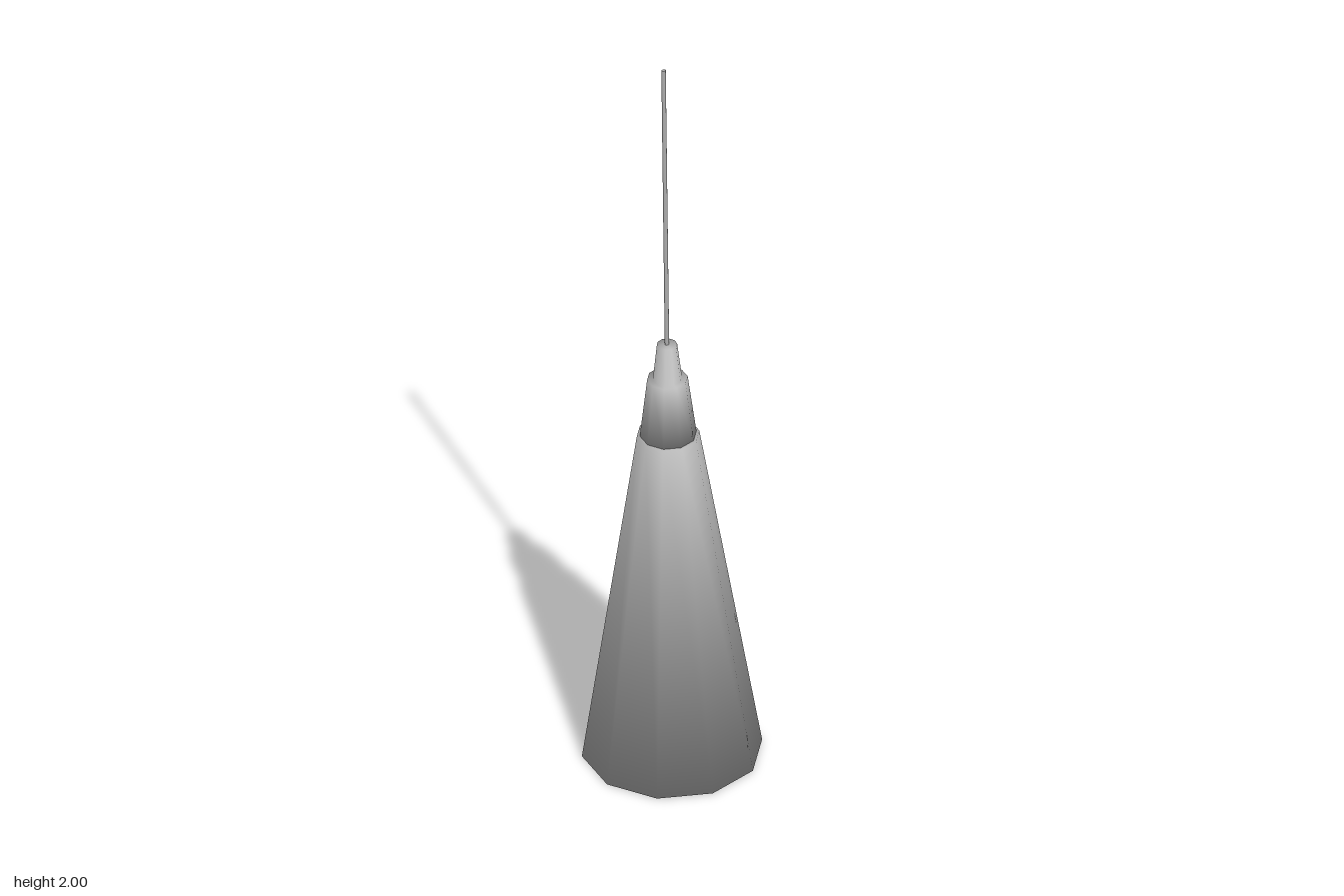
import * as THREE from 'three';

const material = new THREE.MeshStandardMaterial({ color: 0xadadad, side: THREE.DoubleSide });
const SIDES = 10;

// Ten-sided turned part from [radius, height] pairs. Each profile corner gets
// the plain average of its two neighbouring slopes, so rims shade softly.
function turned(name, profile) {
  const points = profile.map(([r, y]) => new THREE.Vector2(r, y));
  const slopes = points.slice(1).map((p, i) => {
    const d = p.clone().sub(points[i]).normalize();
    return new THREE.Vector2(d.y, -d.x);
  });
  const corners = points.map((p, i) => {
    const before = slopes[Math.max(i - 1, 0)];
    const after = slopes[Math.min(i, slopes.length - 1)];
    return before.clone().add(after).normalize();
  });
  const geometry = new THREE.LatheGeometry(points, SIDES);
  for (let s = 0; s <= SIDES; s++) {
    const angle = (s / SIDES) * Math.PI * 2;
    corners.forEach((n, i) => geometry.attributes.normal.setXYZ(
      s * points.length + i, n.x * Math.sin(angle), n.y, n.x * Math.cos(angle)));
  }
  const mesh = new THREE.Mesh(geometry, material);
  mesh.name = name;
  return mesh;
}

export function createModel() {
  const model = new THREE.Group();
  model.name = 'pendantLamp';

  // The lamp hangs very slightly off plumb
  const lamp = new THREE.Group();
  lamp.name = 'hangingLamp';
  lamp.rotation.z = 0.0115;
  lamp.position.y = 0.0025;
  model.add(lamp);

  // Thin-walled conical shade, open below, with a flat ledge on top
  lamp.add(turned('shade', [
    [0, 0.915], [0.073, 0.915], [0.219, 0], [0.222, 0], [0.077, 0.927], [0.064, 0.927],
  ]));

  // Cap stepping in to a narrow cord grip, turned as one smooth piece
  lamp.add(turned('cap', [
    [0.06, 0.926], [0.07, 0.926], [0.05, 1.09], [0.036, 1.09], [0.025, 1.19], [0, 1.19],
  ]));

  // Suspension cord
  const cord = new THREE.Mesh(new THREE.CylinderGeometry(0.006, 0.006, 0.8125, 8), material);
  cord.name = 'cord';
  cord.scale.z = 0.7;
  cord.position.y = 1.591;
  lamp.add(cord);

  return model;
}
